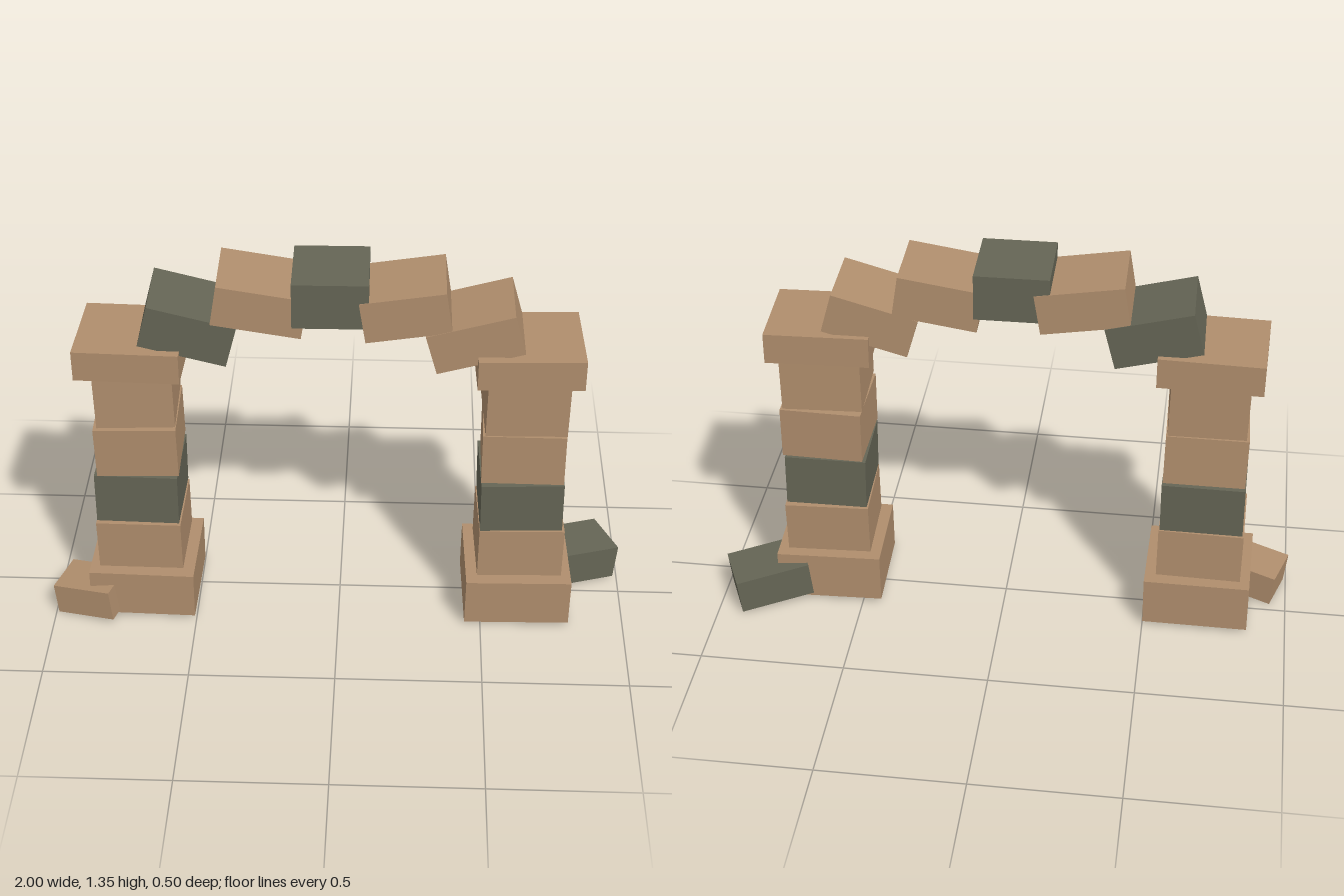
import * as THREE from 'three';

const sandstone = new THREE.MeshStandardMaterial({ color: 0xb08e6d });
sandstone.name = 'sandstone';
const darkStone = new THREE.MeshStandardMaterial({ color: 0x656555 });
darkStone.name = 'dark stone';

// One stone: size, centre, then yaw, roll and pitch in degrees
function stone(name, material, size, centre, yaw = 0, roll = 0, pitch = 0) {
  const mesh = new THREE.Mesh(new THREE.BoxGeometry(...size), material);
  mesh.name = name;
  mesh.position.set(...centre);
  mesh.rotation.order = 'YZX';
  const rad = THREE.MathUtils.degToRad;
  mesh.rotation.set(rad(pitch), rad(yaw), rad(roll));
  return mesh;
}

// Pillar: base, four slightly crooked blocks and a cap
function pillar(name, baseX, capX, capZ, blocks, baseYaw, capYaw) {
  const group = new THREE.Group();
  group.name = name;
  group.add(stone('base', sandstone, [0.365, 0.176, 0.333], [baseX, 0.105, 0.03], baseYaw, -0.5, 0.5));
  blocks.forEach(([x, width, yaw, roll, pitch], i) => {
    const material = i === 1 ? darkStone : sandstone;
    group.add(stone('pillarBlock' + (i + 1), material, [width, 0.188, 0.268],
      [x, 0.297 + i * 0.197, 0.031], yaw, roll, pitch));
  });
  group.add(stone('cap', sandstone, [0.35, 0.108, 0.307], [capX, 1.041, capZ], capYaw, 0, 0.5));
  return group;
}

export function createModel() {
  const model = new THREE.Group();
  model.name = 'stoneArch';

  model.add(pillar('rightPillar', -0.685, -0.687, 0.028, [
    [-0.687, 0.292, -1, 0.3, 0.8],
    [-0.686, 0.283, -1, -0.4, -0.5],
    [-0.682, 0.277, 1, 0.8, 1],
    [-0.68, 0.262, 2, 1, -0.8],
  ], -1, -2));
  model.add(pillar('leftPillar', 0.622, 0.622, 0.028, [
    [0.624, 0.292, 2, -0.5, -0.8],
    [0.62, 0.28, 1.5, 0.8, 0.5],
    [0.621, 0.278, -1, 0.3, -0.8],
    [0.619, 0.272, 2, -0.6, 0.8],
  ], 1.7, 2));

  // Arch stones: x, y, length, height, roll, material
  const arch = new THREE.Group();
  arch.name = 'arch';
  [
    [-0.492, 1.147, 0.296, 0.15, -14.5, darkStone],
    [-0.257, 1.243, 0.296, 0.142, -9.3, sandstone],
    [-0.028, 1.27, 0.248, 0.16, 0, darkStone],
    [0.214, 1.233, 0.282, 0.146, 8.7, sandstone],
    [0.441, 1.136, 0.296, 0.144, 15.6, sandstone],
  ].forEach(([x, y, length, height, roll, material], i) => {
    arch.add(stone('archStone' + (i + 1), material, [length, height, 0.256], [x, y, 0.028], 0.5, roll));
  });
  model.add(arch);

  // Fallen stones leaning on the bases
  model.add(stone('rightFallenStone', sandstone, [0.213, 0.115, 0.158], [-0.872, 0.073, 0.138], -17.5, 6));
  model.add(stone('leftFallenStone', darkStone, [0.26, 0.128, 0.183], [0.837, 0.085, -0.118], 24, -6));

  return model;
}
